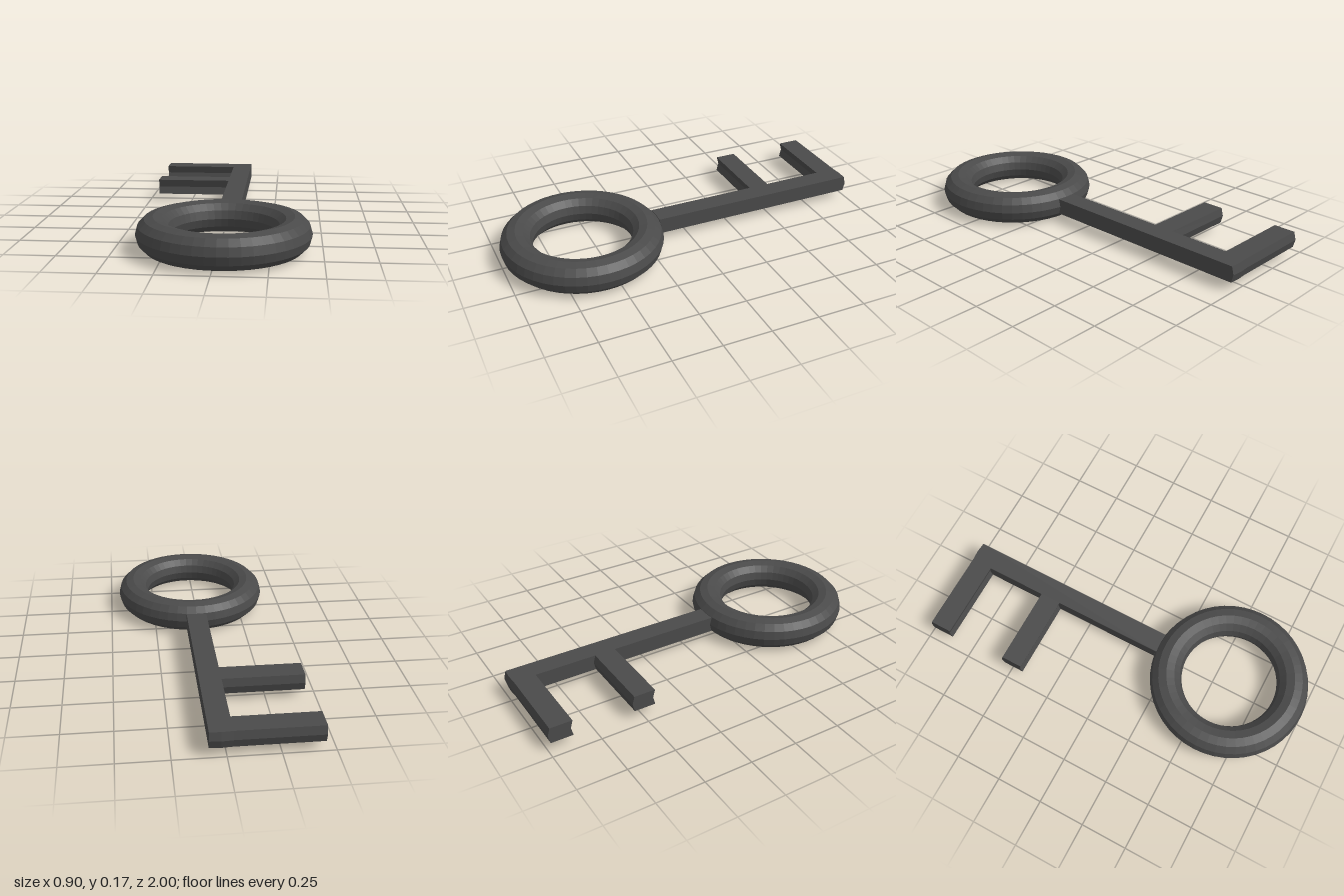
import * as THREE from 'three';

const R = 0.338, TUBE = 0.0845;      // ring radius and tube radius
const CX = 0.026, CZ = 0.578;        // ring centre in plan
const Y0 = TUBE * 0.5, H = TUBE;     // bottom and height of the bars
const BULGE = 0.011;                 // backward shift of the bars at mid height

const material = new THREE.MeshStandardMaterial({ color: 0x4a4a4a, flatShading: true });

// Bar from a plan outline of [x, z] points, with its middle layer pushed back
// so the rear faces are convex and the front faces concave.
function bar(name, outline) {
  const shape = new THREE.Shape(outline.map(([x, z]) => new THREE.Vector2(x, -z)));
  const geo = new THREE.ExtrudeGeometry(shape, { depth: H, steps: 2, bevelEnabled: false });
  geo.rotateX(-Math.PI / 2);
  const p = geo.attributes.position;
  for (let i = 0; i < p.count; i++) {
    if (Math.abs(p.getY(i) - H / 2) < 0.001) p.setZ(i, p.getZ(i) - BULGE);
  }
  geo.translate(0, Y0, 0);
  geo.computeVertexNormals();
  const mesh = new THREE.Mesh(geo, material);
  mesh.name = name;
  return mesh;
}

export function createModel() {
  const group = new THREE.Group();
  group.name = 'key';

  // Ring-shaped handle
  const ringGeo = new THREE.TorusGeometry(R, TUBE, 12, 48);
  ringGeo.rotateX(Math.PI / 2);
  const ring = new THREE.Mesh(ringGeo, material);
  ring.name = 'ringHandle';
  ring.position.set(CX, TUBE, CZ);
  group.add(ring);

  // Shaft, two ring facets wide
  const xl = CX - 0.055, xr = CX + 0.055;
  group.add(bar('shaft', [
    [xl, 0.168], [CX, 0.164], [xr, 0.168],
    [xr, -0.985], [CX, -0.989], [xl, -0.985],
  ]));

  // Two teeth on the same side of the shaft
  for (const [name, x, back, front] of [
    ['endTooth', -0.452, -0.985, -0.87],
    ['middleTooth', -0.444, -0.543, -0.43],
  ]) {
    group.add(bar(name, [[x, front], [xl, front], [xl, back], [x, back]]));
  }

  return group;
}
